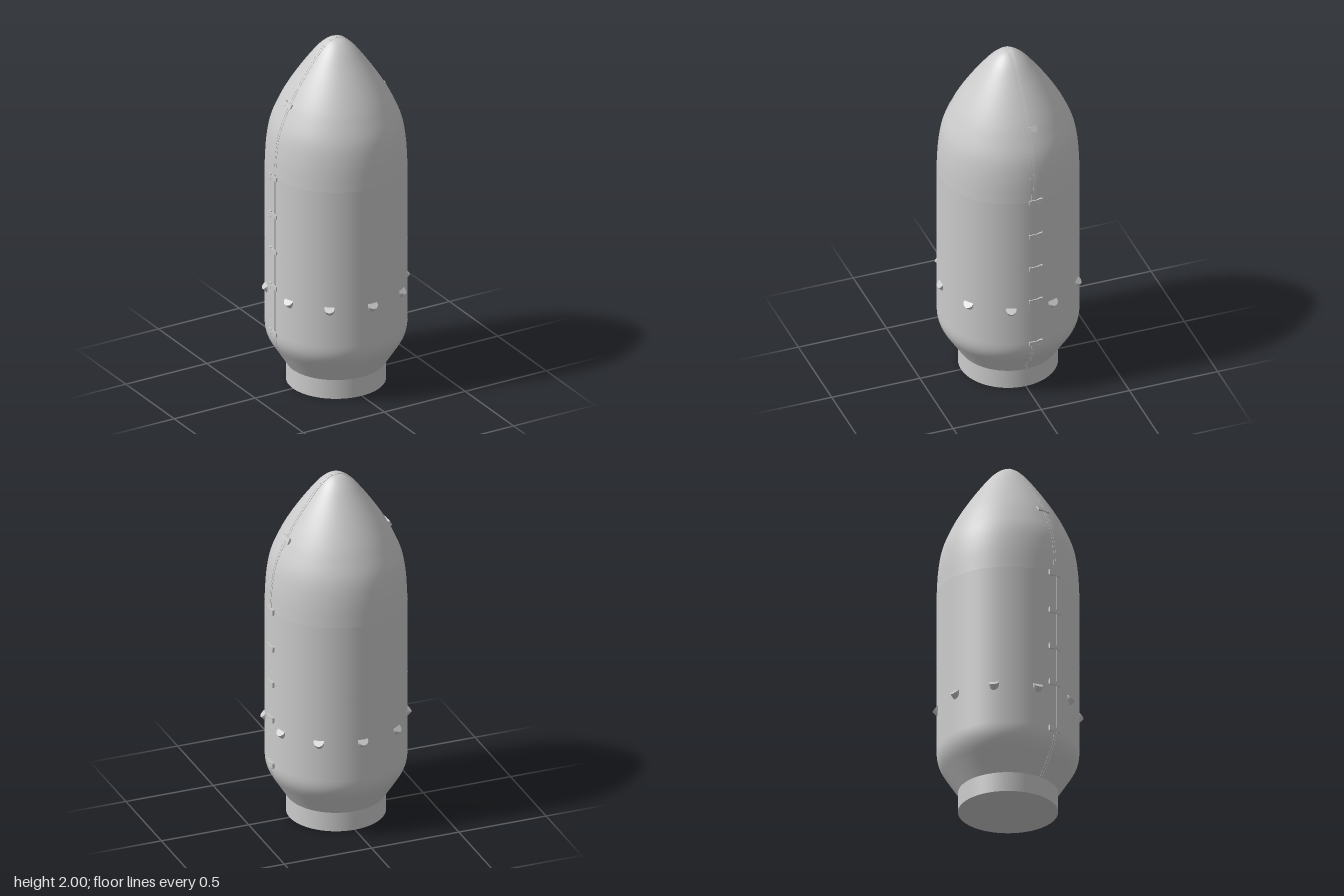
import * as THREE from 'three';

const SEAM_Z = -0.003;
const RINGS = [0.35, 0.83, 1.26, 1.63]; // heights of the panel joints
const V = (x, y) => new THREE.Vector2(x, y);

// Outer silhouette: shoulder cone, straight barrel, ogive nose
const shoulder = new THREE.CubicBezierCurve(V(0.33, 0.21), V(0.362, 0.258), V(0.379, 0.29), V(0.379, 0.35));
const ogive = new THREE.SplineCurve([
  V(0.379, 1.26), V(0.371, 1.4), V(0.35, 1.52), V(0.305, 1.63), V(0.26, 1.714), V(0.205, 1.8),
  V(0.15, 1.877), V(0.1, 1.94), V(0.06, 1.977), V(0.03, 1.994), V(0, 2),
]);
const profile = [V(0.266, 0.11), ...shoulder.getPoints(12), ...ogive.getPoints(60)];

function radiusAt(y) {
  for (let i = 1; i < profile.length; i++) {
    const a = profile[i - 1], b = profile[i];
    if (y <= b.y) return a.x + (b.x - a.x) * (y - a.y) / (b.y - a.y || 1);
  }
  return 0;
}

// Silhouette points between two heights
function slice(y0, y1) {
  const inside = profile.filter((p) => p.y > y0 + 1e-4 && p.y < y1 - 1e-4);
  return [V(radiusAt(y0), y0), ...inside, V(radiusAt(y1), y1)];
}

export function createModel() {
  const group = new THREE.Group();
  const grey = new THREE.MeshStandardMaterial({ color: 0xcccccc, side: THREE.DoubleSide });
  const add = (name, geometry, parent = group) => {
    const mesh = new THREE.Mesh(geometry, grey);
    mesh.name = name;
    parent.add(mesh);
    return mesh;
  };
  const lathe = (points) => new THREE.LatheGeometry(points, 96);

  // Base collar, closed underneath
  add('baseCollar', new THREE.CylinderGeometry(0.266, 0.266, 0.11, 96).translate(0, 0.055, 0));

  // Inner core showing as shallow grooves at the panel joints
  add('innerCore', lathe(slice(0.11, 1.8).map((p) => V(p.x - 0.003, p.y))));

  // Shell panels, with a narrow gap at every joint
  const names = ['shoulderShell', 'lowerBarrel', 'upperBarrel', 'ogiveShell', 'noseCap'];
  const stops = [0.11, ...RINGS, 2];
  names.forEach((name, i) => {
    const y0 = stops[i] + (i > 0 ? 0.002 : 0);
    const y1 = stops[i + 1] - (i < names.length - 1 ? 0.002 : 0);
    add(name, lathe(slice(y0, y1)));
  });

  // Split line: two thin raised flanges running over the nose
  const right = slice(0.11, 2).map((p) => V(p.x + 0.001, p.y));
  const left = right.map((p) => V(-p.x, p.y)).reverse();
  const outline = new THREE.Shape([...right, ...left]);
  for (const z of [SEAM_Z - 0.014, SEAM_Z + 0.001]) {
    add('seamFlange', new THREE.ExtrudeGeometry(outline, { depth: 0.013, bevelEnabled: false }).translate(0, 0, z));
  }

  // Latches bridging the split line on both sides
  for (const y of [0.35, 0.62, 0.83, 1.04, 1.26, 1.665]) {
    const tilt = Math.atan2(radiusAt(y - 0.02) - radiusAt(y + 0.02), 0.04);
    for (const side of [1, -1]) {
      const latch = new THREE.Group();
      latch.name = side > 0 ? 'leftLatch' : 'rightLatch';
      latch.position.set(side * radiusAt(y), y, 0);
      latch.rotation.z = side * tilt;
      add('latchBar', new THREE.BoxGeometry(0.013, 0.024, 0.078), latch).position.z = -0.014;
      add('latchBlock', new THREE.BoxGeometry(0.014, 0.032, 0.022), latch).position.z = -0.041;
      group.add(latch);
    }
  }

  // Ring of ten small nozzles leaning outwards and up
  for (let i = 0; i < 10; i++) {
    const pivot = new THREE.Group();
    pivot.name = 'nozzle';
    pivot.rotation.y = (i * Math.PI) / 5;
    const body = add('nozzleBody', new THREE.CylinderGeometry(0.028, 0.028, 0.06, 24).translate(0, -0.03, 0), pivot);
    body.position.set(0, 0.585, 0.383);
    body.rotation.x = Math.PI / 4;
    group.add(pivot);
  }
  return group;
}
